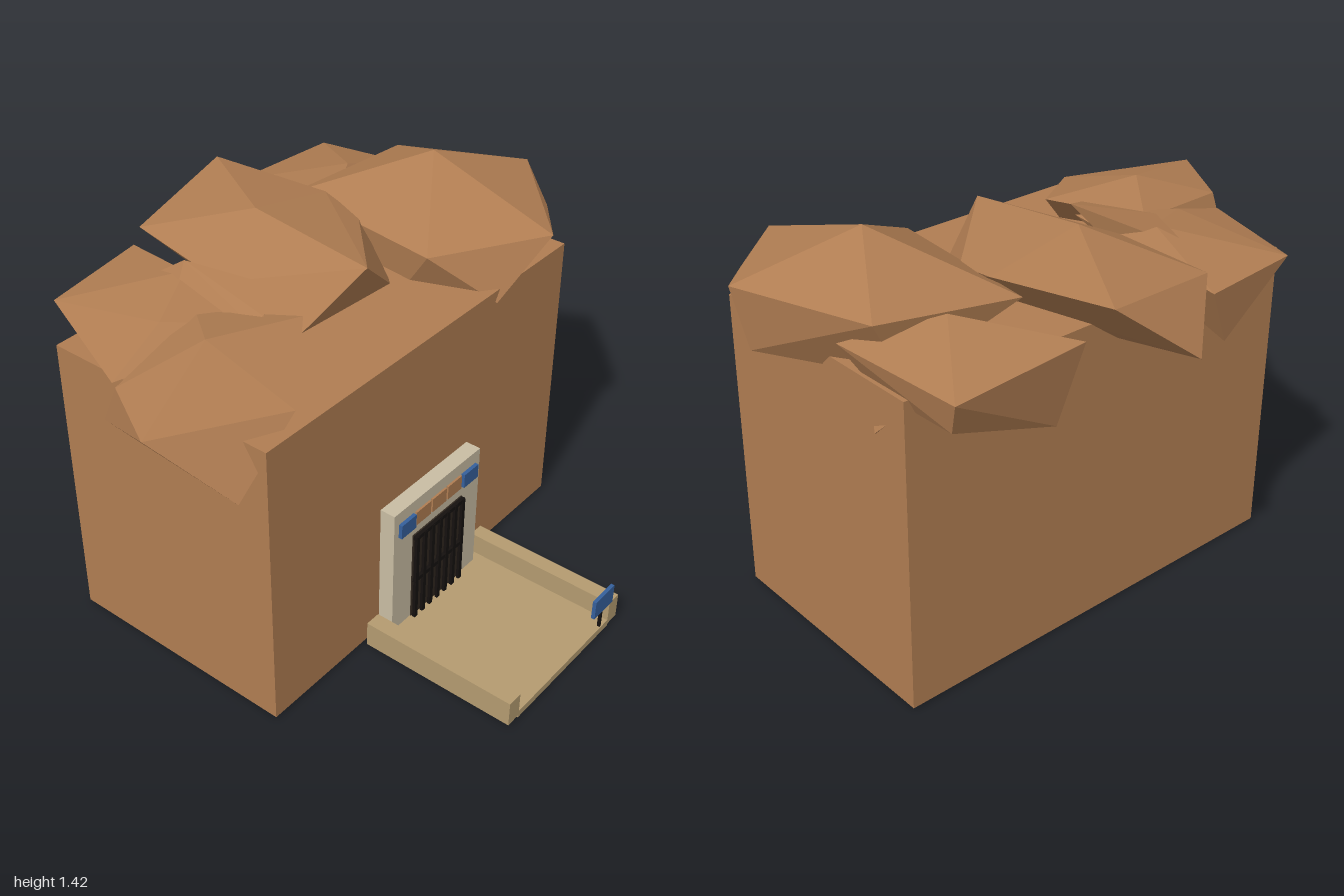
import * as THREE from 'three';
import { ConvexGeometry } from 'three/addons/geometries/ConvexGeometry.js';

function mat(name, color) {
  const m = new THREE.MeshStandardMaterial({ color });
  m.name = name;
  return m;
}

export function createModel() {
  const root = new THREE.Group();
  const rock = mat('sandstone', 0xb07d52);
  const cream = mat('cream stone', 0xc9bda3);
  const sand = mat('sand paving', 0xb49b70);
  const blue = mat('sign blue', 0x35609c);
  const dark = mat('dark recess', 0x30271f);
  const black = mat('iron', 0x15110f);

  // Box given by its minimum and maximum corners
  function box(name, m, [x0, y0, z0], [x1, y1, z1], parent = root) {
    const mesh = new THREE.Mesh(new THREE.BoxGeometry(x1 - x0, y1 - y0, z1 - z0), m);
    mesh.position.set((x0 + x1) / 2, (y0 + y1) / 2, (z0 + z1) / 2);
    mesh.name = name;
    parent.add(mesh);
  }

  // Faceted boulder wrapped around a few corner points
  function boulder(name, points) {
    const mesh = new THREE.Mesh(new ConvexGeometry(points.map((p) => new THREE.Vector3(...p))), rock);
    mesh.name = name;
    root.add(mesh);
  }

  // Main cliff block
  box('cliffBlock', rock, [-0.58, 0.01, -0.84], [0.315, 1.105, 0.742]);

  // Boulders on top
  boulder('backBoulder', [
    [-0.11, 1.42, -0.62], [0.035, 1.285, -1.0], [0.39, 1.255, -0.63], [0.23, 1.23, -0.84],
    [0.32, 1.06, -0.42], [0.13, 1.23, -0.27], [0.02, 1.07, -0.3], [0, 1.075, -0.965],
    [-0.51, 1.24, -0.34], [-0.42, 1.27, -0.82], [-0.4, 1.05, -0.7],
  ]);
  boulder('backLeftBoulder', [
    [-0.78, 1.17, -0.82], [-0.78, 1.2, -0.34], [-0.31, 1.19, -0.87], [-0.48, 1.26, -0.6],
    [-0.74, 1.06, -0.8], [-0.75, 0.94, -0.42], [-0.5, 0.79, -0.32], [-0.4, 1.05, -0.8],
  ]);
  boulder('backChip', [
    [-0.5, 1.0, -0.83], [-0.42, 0.96, -0.83], [-0.43, 0.93, -0.83], [-0.48, 0.97, -0.87],
  ]);
  boulder('middleBoulder', [
    [-0.4, 1.345, -0.015], [-0.93, 1.09, -0.015], [-0.83, 1.3, -0.28], [-0.39, 1.27, -0.365],
    [-0.22, 1.24, -0.34], [0, 1.09, -0.25], [0.08, 1.29, -0.015], [-0.03, 1.09, 0.21],
    [-0.32, 1.21, 0.25], [-0.75, 1.24, 0.195], [-0.5, 1.0, 0],
  ]);
  boulder('frontLeftBoulder', [
    [-0.77, 1.17, 0.21], [-0.72, 1.16, 0.62], [-0.41, 1.25, 0.32], [-0.75, 0.97, 0.3],
    [-0.26, 1.13, 0.8], [-0.06, 1.18, 0.3], [-0.45, 0.95, 0.5], [-0.3, 1.21, 0.55],
  ]);
  boulder('frontBoulder', [
    [0.065, 1.17, 0.99], [0.28, 0.95, 0.83], [0.16, 0.93, 0.76], [-0.29, 0.99, 0.82],
    [-0.2, 1.16, 0.84], [0.28, 1.145, 0.57], [-0.07, 1.255, 0.58], [0.035, 1.22, 0.25],
    [-0.27, 1.2, 0.42], [0.1, 1.07, 0.4],
  ]);
  boulder('ridgeChip', [
    [-0.54, 1.2, 0.35], [-0.41, 1.29, 0.32], [-0.12, 1.26, 0.22], [-0.06, 1.22, 0.33],
    [-0.1, 1.2, 0.36], [-0.38, 1.2, 0.4], [-0.3, 1.1, 0.3],
  ]);

  // Doorway surround with dark recess
  box('doorSurround', cream, [0.31, 0.01, -0.29], [0.374, 0.547, 0.198]);
  box('doorRecess', dark, [0.374, 0.03, -0.187], [0.379, 0.4, 0.094]);

  // Iron gate
  const gate = new THREE.Group();
  gate.name = 'gate';
  root.add(gate);
  for (let i = 0; i < 7; i++) {
    const z = -0.178 + i * 0.0438;
    box('gateBar', black, [0.383, 0.03, z - 0.008], [0.394, 0.395, z + 0.008], gate);
  }
  for (const y of [0.2, 0.39]) {
    box('gateRail', black, [0.379, y - 0.008, -0.187], [0.392, y + 0.008, 0.094], gate);
  }

  // Row of plaques above the gate
  const plaques = [[0.133, 0.08, blue], [0.043, 0.08, rock], [-0.046, 0.08, rock], [-0.135, 0.08, rock], [-0.224, 0.082, blue]];
  for (const [z, w, m] of plaques) {
    const front = m === blue ? 0.388 : 0.382;
    box('plaque', m, [0.374, 0.442, z - w / 2], [front, 0.498, z + w / 2]);
  }

  // Forecourt with low side walls
  box('forecourtFloor', sand, [0.335, 0.003, -0.332], [0.928, 0.03, 0.232]);
  box('leftCurb', sand, [0.335, 0.012, 0.228], [0.928, 0.11, 0.288]);
  box('rightCurb', sand, [0.335, 0.012, -0.386], [0.928, 0.11, -0.328]);

  // Free-standing sign
  box('signPost', black, [0.914, 0.03, -0.29], [0.924, 0.11, -0.28]);
  box('signBoard', blue, [0.914, 0.106, -0.347], [0.928, 0.182, -0.228]);

  return root;
}
